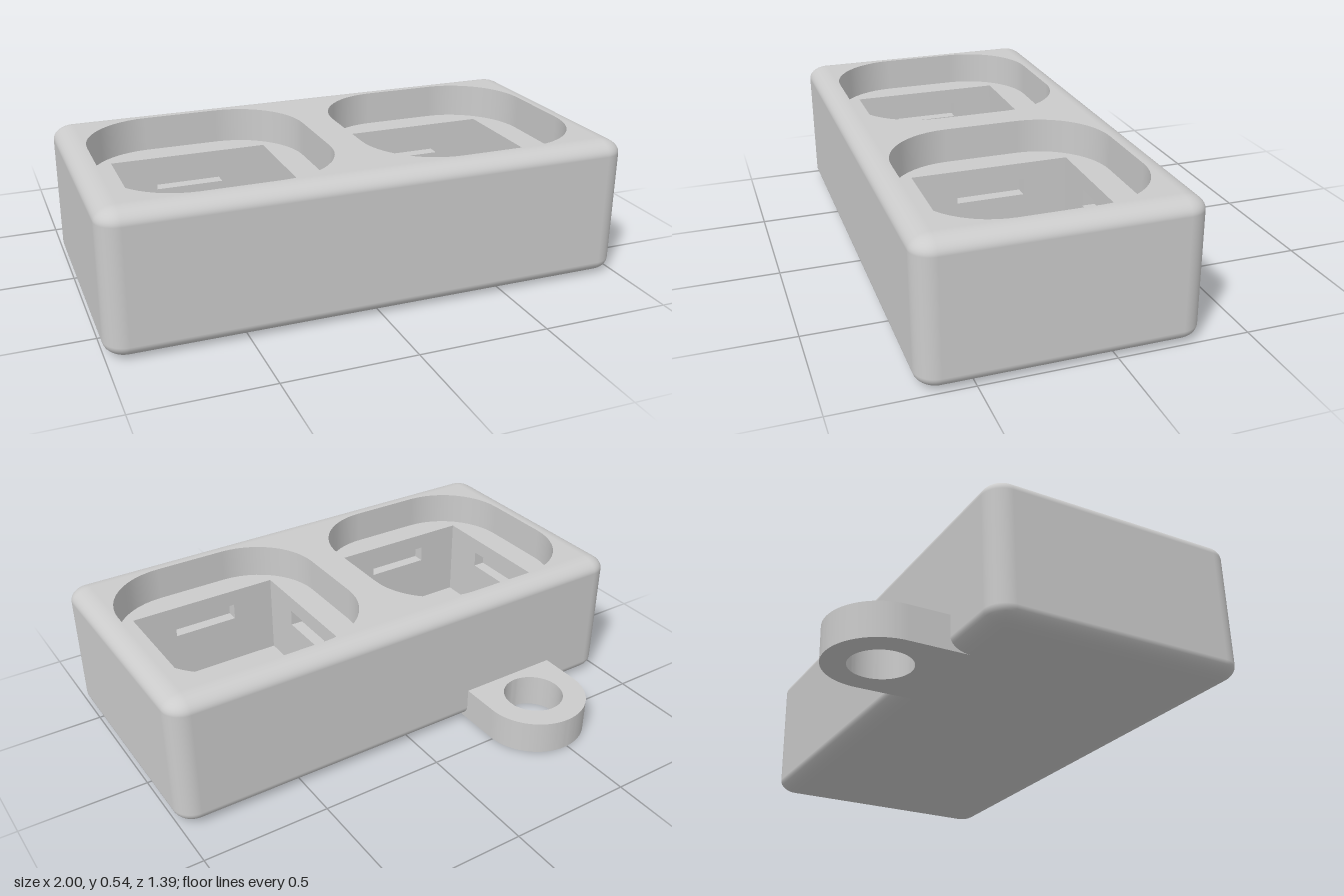
import * as THREE from 'three';
import { toCreasedNormals } from 'three/addons/utils/BufferGeometryUtils.js';

const material = new THREE.MeshStandardMaterial({ color: 0xcccccc });

const H = 0.54;                        // body height
const HX = 1, HZ = 0.512;              // body half width and depth
const EDGE = 0.08, EDGE_Y = 0.052;     // rounding, sideways and upright
const CZ = 0.184;                      // body centre in z
const PX = 0.49;                       // pocket centre in x
const LEDGE = 0.405, FLOOR = 0.07;     // heights inside a pocket
const RIM = 0.425, RIM_R = 0.28;       // rounded recess half size and radius
const WELL = 0.3135;                   // square well half size
const SLOT = { w: 0.27, h: 0.067, d: 0.05, y: 0.305 };

function addMesh(parent, name, geometry) {
  const mesh = new THREE.Mesh(geometry, material);
  mesh.name = name;
  parent.add(mesh);
  return mesh;
}

// Rounded rectangle loop: [x, z, normal x, normal z] per point
function roundedLoop(hx, hz, r, steps = 12) {
  const points = [];
  for (let c = 0; c < 4; c++) {
    const sx = c === 0 || c === 3 ? 1 : -1, sz = c < 2 ? 1 : -1;
    for (let i = 0; i <= steps; i++) {
      const a = (c + i / steps) * Math.PI / 2;
      const nx = Math.cos(a), nz = Math.sin(a);
      points.push([sx * hx + r * nx, sz * hz + r * nz, nx, nz]);
    }
  }
  return points;
}

// Skin over stacked loops; each ring is { loop, y, side, up } with its normal tilt
function skin(rings, inward = false) {
  const position = [], normal = [], index = [];
  const n = rings[0].loop.length, s = inward ? -1 : 1;
  for (const { loop, y, side, up } of rings) {
    for (const [x, z, nx, nz] of loop) {
      const v = new THREE.Vector3(nx * side, up, nz * side).normalize();
      position.push(x, y, z);
      normal.push(s * v.x, s * v.y, s * v.z);
    }
  }
  for (let r = 0; r < rings.length - 1; r++) {
    for (let i = 0; i < n; i++) {
      const a = r * n + i, b = r * n + (i + 1) % n, c = a + n, d = b + n;
      if (inward) index.push(a, b, c, b, d, c);
      else index.push(a, c, b, b, c, d);
    }
  }
  const g = new THREE.BufferGeometry();
  g.setAttribute('position', new THREE.Float32BufferAttribute(position, 3));
  g.setAttribute('normal', new THREE.Float32BufferAttribute(normal, 3));
  g.setIndex(index);
  return g;
}

function rect(Type, hx, hy, cx = 0, cy = 0) {
  return new Type([[-1, -1], [1, -1], [1, 1], [-1, 1]]
    .map(([x, y]) => new THREE.Vector2(cx + x * hx, cy + y * hy)));
}

function rimPath(Type, cx = 0) {
  return new Type(roundedLoop(RIM - RIM_R, RIM - RIM_R, RIM_R)
    .map(([x, z]) => new THREE.Vector2(cx + x, z)));
}

// Flat horizontal face at height y
function level(shape, y, down = false) {
  return new THREE.ShapeGeometry(shape)
    .rotateX(down ? Math.PI / 2 : -Math.PI / 2).translate(0, y, 0);
}

// Box seen from inside, open towards +z
function cavity(w, h, d) {
  const g = new THREE.BoxGeometry(w, h, d);
  const kept = Array.from(g.index.array).filter((_, i) => i < 24 || i >= 30);
  g.setIndex(kept.reverse());
  const n = g.attributes.normal;
  for (let i = 0; i < n.count; i++) n.setXYZ(i, -n.getX(i), -n.getY(i), -n.getZ(i));
  return g.translate(0, 0, -d / 2);
}

function createBody() {
  const body = new THREE.Group();
  body.name = 'body';
  const rings = [];
  const steps = 10;
  for (const half of [-1, 1]) {
    for (let i = 0; i <= steps; i++) {
      const a = (half < 0 ? i / steps - 1 : i / steps) * Math.PI / 2;
      rings.push({
        loop: roundedLoop(HX - EDGE, HZ - EDGE, EDGE * Math.cos(a)),
        y: H / 2 + half * (H / 2 - EDGE_Y) + EDGE_Y * Math.sin(a),
        side: Math.cos(a) / EDGE,
        up: Math.sin(a) / EDGE_Y,
      });
    }
  }
  addMesh(body, 'bodySides', skin(rings));
  addMesh(body, 'bodyBottom', level(rect(THREE.Shape, HX - EDGE, HZ - EDGE), 0, true));
  const top = rect(THREE.Shape, HX - EDGE, HZ - EDGE);
  top.holes.push(rimPath(THREE.Path, -PX), rimPath(THREE.Path, PX));
  addMesh(body, 'bodyTop', level(top, H));
  return body;
}

function createPocket() {
  const pocket = new THREE.Group();
  // Rounded recess and its ledge
  const loop = roundedLoop(RIM - RIM_R, RIM - RIM_R, RIM_R);
  addMesh(pocket, 'recessWall', skin([LEDGE, H].map(y => ({ loop, y, side: 1, up: 0 })), true));
  const ledge = rimPath(THREE.Shape);
  ledge.holes.push(rect(THREE.Path, WELL, WELL));
  addMesh(pocket, 'recessLedge', level(ledge, LEDGE));
  // Square well with a clip slot in each wall
  addMesh(pocket, 'wellFloor', level(rect(THREE.Shape, WELL, WELL), FLOOR));
  for (let i = 0; i < 4; i++) {
    const side = new THREE.Group();
    side.name = 'wellSide';
    side.rotation.y = i * Math.PI / 2;
    const wall = rect(THREE.Shape, WELL, (LEDGE - FLOOR) / 2, 0, (LEDGE + FLOOR) / 2);
    wall.holes.push(rect(THREE.Path, SLOT.w / 2, SLOT.h / 2, 0, SLOT.y));
    addMesh(side, 'wellWall', new THREE.ShapeGeometry(wall)).position.z = -WELL;
    addMesh(side, 'clipSlot', cavity(SLOT.w, SLOT.h, SLOT.d)).position.set(0, SLOT.y, -WELL);
    pocket.add(side);
  }
  return pocket;
}

// Loop tab with a round hole, at the back of the body
function createTab() {
  const r = 0.211, cy = 0.487, inner = -(CZ - HZ + EDGE);
  const shape = new THREE.Shape();
  shape.moveTo(-r, inner);
  shape.lineTo(r, inner);
  shape.lineTo(r, cy);
  shape.absarc(0, cy, r, 0, Math.PI, false);
  shape.closePath();
  const hole = new THREE.Path();
  hole.absarc(0, cy, 0.119, 0, Math.PI * 2, true);
  shape.holes.push(hole);
  const g = new THREE.ExtrudeGeometry(shape, { depth: 0.135, bevelEnabled: false, curveSegments: 40 });
  return toCreasedNormals(g.rotateX(-Math.PI / 2), 0.6);
}

export function createModel() {
  const model = new THREE.Group();
  model.name = 'twoPocketHolder';
  const body = createBody();
  body.position.z = CZ;
  for (const [name, x] of [['rightPocket', -PX], ['leftPocket', PX]]) {
    const pocket = createPocket();
    pocket.name = name;
    pocket.position.x = x;
    body.add(pocket);
  }
  model.add(body);
  addMesh(model, 'loopTab', createTab()).position.x = -PX;
  return model;
}
